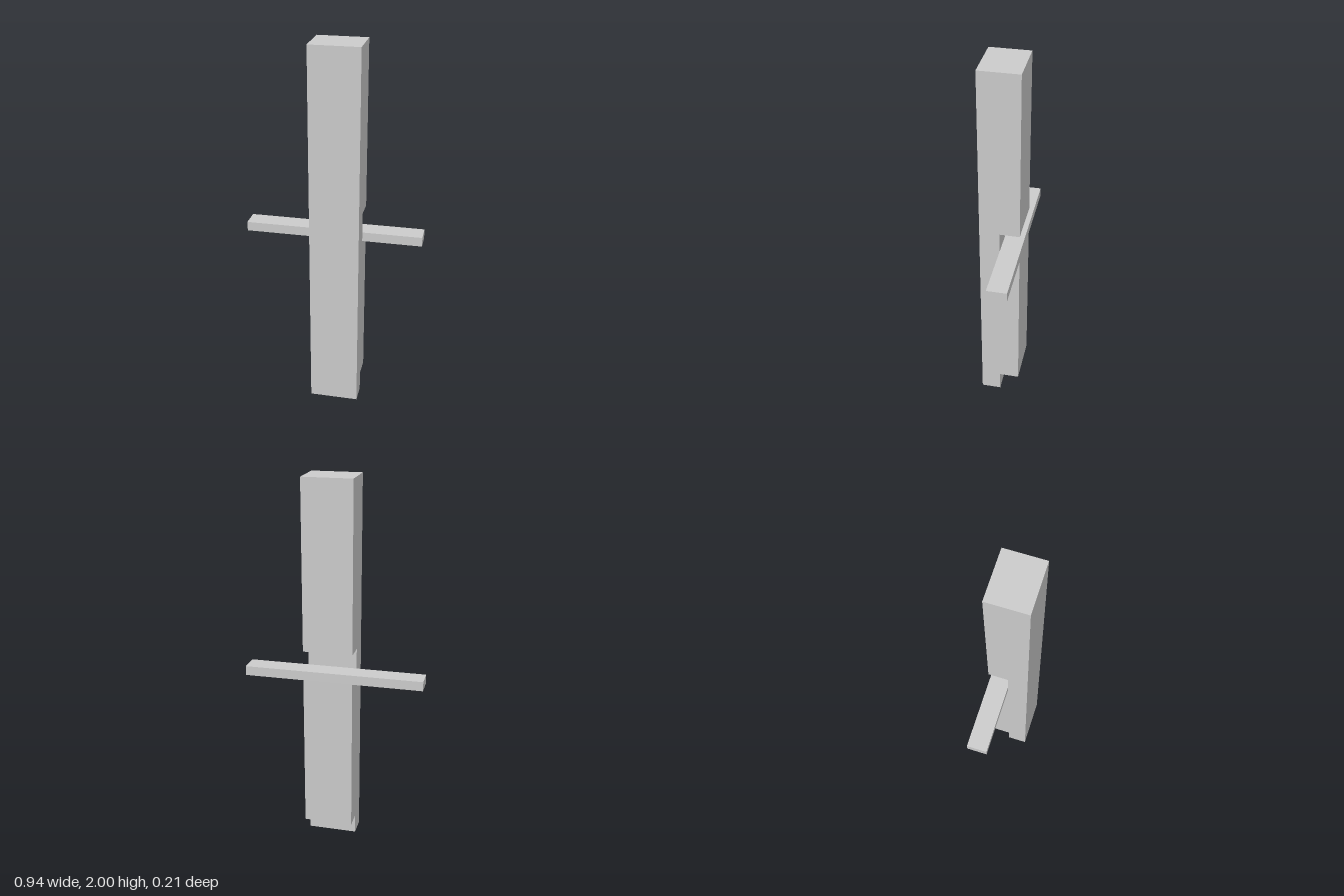
import * as THREE from 'three';

export function createModel() {
  const model = new THREE.Group();
  const material = new THREE.MeshStandardMaterial({ color: 0xcccccc, flatShading: true });

  const half = 0.105;                 // half depth of the post
  const left = 0.157, right = -0.105; // sides of the post
  const barBottom = 0.95, barTop = 1.0;

  // Post: side profile (z, y) with a rear notch for the bar and a rear step at the foot
  const profile = new THREE.Shape([
    [half, 0], [half, 2], [-half, 2], [-half, 1.11], [0, 1.11],
    [0, barBottom], [-half, barBottom], [-half, 0.11], [0, 0.11], [0, 0],
  ].map(([z, y]) => new THREE.Vector2(z, y)));
  const postGeometry = new THREE.ExtrudeGeometry(profile, { depth: left - right, bevelEnabled: false });
  postGeometry.rotateY(-Math.PI / 2).translate(left, 0, 0);
  const post = new THREE.Mesh(postGeometry, material);
  post.name = 'notchedPost';
  model.add(post);

  // Crossbar lying in the bottom of the notch
  const bar = new THREE.Mesh(new THREE.BoxGeometry(0.945, barTop - barBottom, half), material);
  bar.name = 'crossbar';
  bar.position.set(0, (barTop + barBottom) / 2, -half / 2);
  model.add(bar);

  return model;
}
